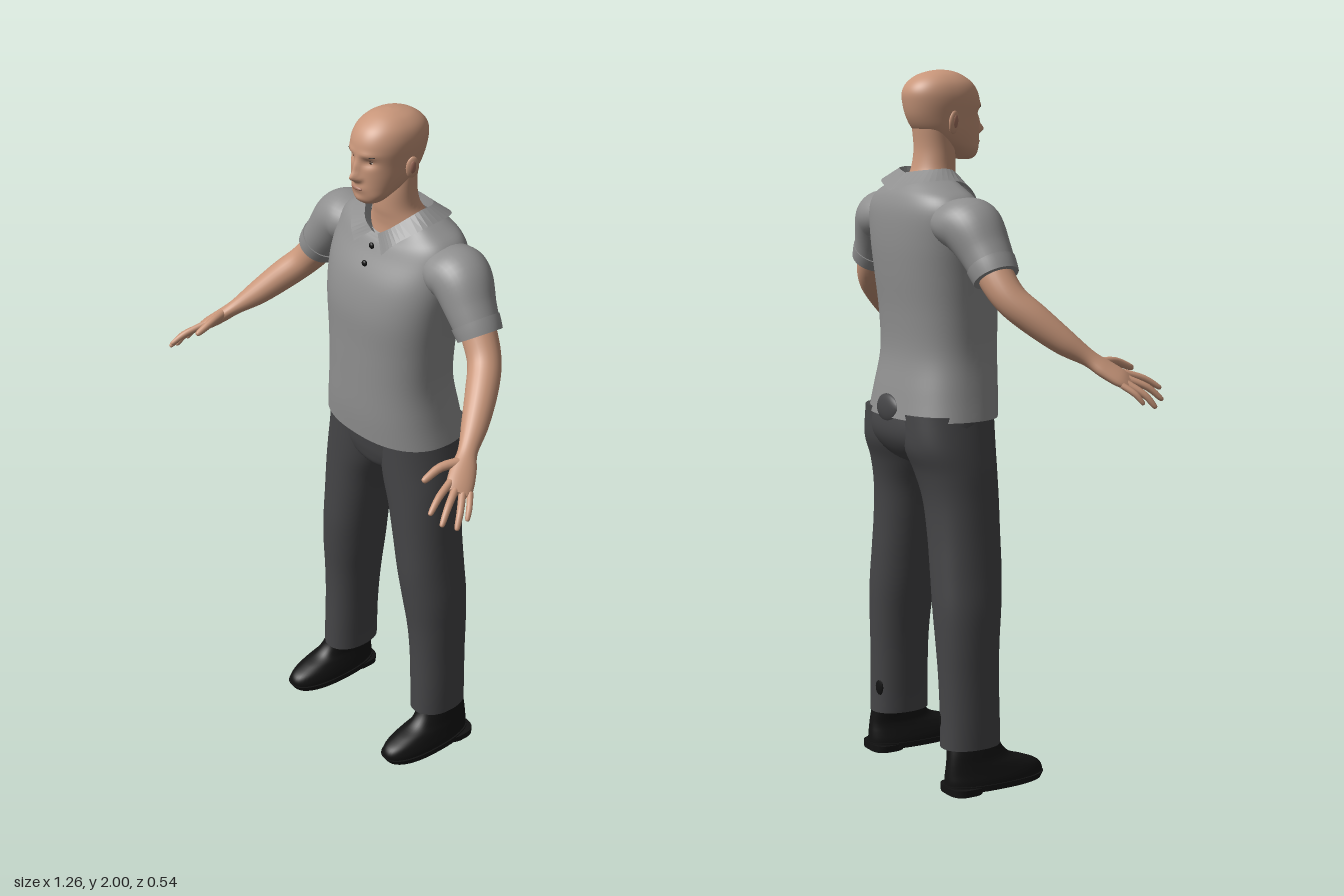
import * as THREE from 'three';

const mat = (name, color, side = THREE.FrontSide) => {
  const m = new THREE.MeshStandardMaterial({ color, side });
  m.name = name;
  return m;
};

// Catmull-Rom smoothing of rows of numbers
function smooth(rows, steps) {
  const out = [], at = i => rows[Math.max(0, Math.min(rows.length - 1, i))];
  for (let i = 0; i < rows.length - 1; i++)
    for (let s = 0; s < steps; s++) {
      const t = s / steps;
      out.push(rows[i].map((b, k) => {
        const a = at(i - 1)[k], c = at(i + 1)[k], d = at(i + 2)[k];
        return 0.5 * (2 * b + (c - a) * t + (2 * a - 5 * b + 4 * c - d) * t * t + (3 * b - a - 3 * c + d) * t * t * t);
      }));
    }
  out.push([...rows[rows.length - 1]]);
  return out;
}

// Skin over closed rings of points, with optional end caps
function skin(rings, capStart = true, capEnd = true) {
  const n = rings[0].length, pos = [], idx = [];
  rings.forEach(r => r.forEach(p => pos.push(p.x, p.y, p.z)));
  for (let i = 0; i < rings.length - 1; i++)
    for (let j = 0; j < n; j++) {
      const k = (j + 1) % n, a = i * n + j, b = i * n + k;
      idx.push(a, b, b + n, a, b + n, a + n);
    }
  const cap = (ring, flip) => {
    const base = pos.length / 3, c = new THREE.Vector3();
    ring.forEach(p => { pos.push(p.x, p.y, p.z); c.addScaledVector(p, 1 / n); });
    pos.push(c.x, c.y, c.z);
    for (let j = 0; j < n; j++) {
      const a = base + j, b = base + (j + 1) % n;
      idx.push(base + n, flip ? b : a, flip ? a : b);
    }
  };
  if (capStart) cap(rings[0], true);
  if (capEnd) cap(rings[rings.length - 1], false);
  const g = new THREE.BufferGeometry();
  g.setAttribute('position', new THREE.Float32BufferAttribute(pos, 3));
  g.setIndex(idx);
  g.computeVertexNormals();
  return g;
}

// Stacked level rings, bottom to top: [y, xMin, xMax, zFront, zBack, frontDrop]
function stack(rows, { steps = 5, n = 48, e = 2.2, start = true, end = true } = {}) {
  const f = v => Math.sign(v) * Math.abs(v) ** (2 / e);
  return skin(smooth(rows, steps).map(([y, x0, x1, zf, zb, drop = 0]) =>
    Array.from({ length: n }, (_, j) => {
      const a = j / n * Math.PI * 2, c = f(Math.cos(a)), s = f(Math.sin(a));
      return new THREE.Vector3((x0 + x1) / 2 + s * (x1 - x0) / 2,
        y - drop * Math.max(0, c) ** 3, (zf + zb) / 2 + c * (zf - zb) / 2);
    })), start, end);
}
const sym = rows => rows.map(([y, w, ...r]) => [y, -w, w, ...r]);

// Tapered limb along a path: [x, y, z, halfWidth, halfThickness]
function limb(rows, ref, { steps = 6, n = 24 } = {}) {
  const s = smooth(rows, steps), P = s.map(r => new THREE.Vector3(r[0], r[1], r[2]));
  return skin(P.map((p, i) => {
    const t = P[Math.min(i + 1, P.length - 1)].clone().sub(P[Math.max(i - 1, 0)]).normalize();
    const u = ref.clone().addScaledVector(t, -ref.dot(t)).normalize(), v = t.clone().cross(u);
    return Array.from({ length: n }, (_, j) => {
      const a = j / n * Math.PI * 2;
      return p.clone().addScaledVector(u, Math.cos(a) * s[i][3]).addScaledVector(v, Math.sin(a) * s[i][4]);
    });
  }));
}

function mirrored(g) {
  const m = g.clone().scale(-1, 1, 1), ix = m.index.array;
  for (let i = 0; i < ix.length; i += 3) [ix[i], ix[i + 1]] = [ix[i + 1], ix[i]];
  m.computeVertexNormals();
  return m;
}

export function createModel() {
  const root = new THREE.Group();
  root.name = 'standingMan';
  const shirt = mat('shirt grey', 0x8f8f8f, THREE.DoubleSide), skinM = mat('skin', 0xc8967a);
  const cloth = mat('trouser charcoal', 0x454547), black = mat('shoe black', 0x121212);
  const dark = mat('brow dark', 0x2a1d17), white = mat('eye white', 0xcfc5bc), lip = mat('lip', 0xa87562);
  const add = (name, g, m) => {
    const mesh = new THREE.Mesh(g, m);
    mesh.name = name;
    root.add(mesh);
  };
  const pair = (name, g, m) => { add(name + 'Left', g, m); add(name + 'Right', mirrored(g), m); };
  const blob = (x, y, z, sx, sy, sz, ry = 0, rz = 0) => new THREE.SphereGeometry(1, 20, 14)
    .scale(sx, sy, sz).rotateZ(rz).rotateY(ry).translate(x, y, z);

  // Head, with the face pushed out and in by soft bumps
  const head = stack(sym([
    [1.754, .022, .012, -.03], [1.764, .042, .022, -.045], [1.782, .057, .028, -.075], [1.805, .067, .03, -.12],
    [1.835, .075, .031, -.158], [1.87, .08, .031, -.18], [1.91, .085, .032, -.191], [1.94, .083, .025, -.192],
    [1.965, .073, .008, -.178], [1.985, .053, -.02, -.15], [1.996, .028, -.048, -.115], [2, .004, -.078, -.085]]),
  { steps: 7, n: 96 });
  const bump = (v, w) => Math.exp(-(v * v) / (w * w));
  const hp = head.attributes.position;
  for (let i = 0; i < hp.count; i++) {
    const x = hp.getX(i), y = hp.getY(i), z = hp.getZ(i);
    if (z < -.05) continue;
    hp.setZ(i, z + .024 * bump(x, .012) * bump(y - 1.836, .014) + .013 * bump(x, .01) * bump(y - 1.862, .022)
      + .006 * bump(Math.abs(x) - .014, .007) * bump(y - 1.831, .008)
      - .010 * bump(Math.abs(x) - .034, .018) * bump(y - 1.88, .012)
      + .004 * bump(Math.abs(x) - .032, .025) * bump(y - 1.902, .009)
      + .006 * bump(x, .025) * bump(y - 1.803, .013) + .005 * bump(x, .02) * bump(y - 1.77, .012));
  }
  head.computeVertexNormals();
  add('head', head, skinM);
  add('neck', stack(sym([[1.59, .1, -.045, -.2], [1.655, .1, -.052, -.195], [1.69, .084, -.05, -.187],
    [1.725, .067, -.045, -.168], [1.78, .062, -.046, -.158], [1.84, .062, -.06, -.162]]), { e: 2 }), skinM);
  pair('ear', blob(.085, 1.857, -.088, .008, .032, .019, -.3, -.12), skinM);
  pair('innerEar', blob(.089, 1.859, -.086, .006, .02, .010, -.3, -.12), lip);
  pair('eye', blob(.034, 1.88, .008, .013, .0055, .006, .2), white);
  pair('iris', blob(.034, 1.88, .0125, .005, .005, .003, .2), dark);
  pair('eyelid', blob(.035, 1.886, .0115, .015, .0022, .005, .3), dark);
  pair('eyebrow', blob(.036, 1.899, .0195, .018, .0032, .006, .35, .08), dark);
  add('lips', blob(0, 1.803, .0315, .021, .006, .007), lip);

  // Polo shirt
  add('shirtBody', stack(sym([
    [1.045, .222, .045, -.263, 0], [1.12, .208, .05, -.25, 0], [1.22, .195, .051, -.232, 0],
    [1.33, .199, .051, -.235, 0], [1.44, .21, .05, -.246, 0], [1.53, .22, .03, -.252, 0], [1.61, .222, -.008, -.25, .01],
    [1.655, .2, -.025, -.238, .025], [1.682, .15, -.035, -.22, .043], [1.702, .104, -.045, -.2, .055]]),
  { n: 72, e: 2.35, end: false }), shirt);
  const zAxis = new THREE.Vector3(0, 0, 1);
  pair('sleeve', limb([[.13, 1.59, -.13, .07, .055], [.2, 1.588, -.13, .09, .07], [.25, 1.575, -.125, .086, .08],
    [.3, 1.515, -.115, .072, .068], [.34, 1.46, -.11, .062, .06]], zAxis, { n: 36 }), shirt);
  pair('sleeveCuff', limb([[.322, 1.485, -.112, .069, .067], [.334, 1.469, -.111, .067, .065],
    [.345, 1.453, -.11, .064, .062]], zAxis, { n: 36, steps: 2 }), shirt);

  // Folded collar: stand, fold and outer edge swept from front to back
  const edges = [
    [[.012, 1.635, -.05], [.05, 1.655, -.06], [.088, 1.69, -.1], [.078, 1.7, -.165], [0, 1.69, -.19]],
    [[.012, 1.652, -.03], [.055, 1.682, -.04], [.098, 1.728, -.1], [.085, 1.73, -.165], [0, 1.72, -.195]],
    [[.058, 1.612, -.004], [.095, 1.655, -.025], [.138, 1.698, -.1], [.115, 1.698, -.205], [0, 1.672, -.245]]
  ].map(r => smooth(r, 6));
  const cp = [], ci = [], m = edges[0].length;
  edges.forEach(e => e.forEach(p => cp.push(...p)));
  for (let r = 0; r < 2; r++)
    for (let i = 0; i < m - 1; i++) {
      const a = r * m + i;
      ci.push(a, a + m, a + m + 1, a, a + m + 1, a + 1);
    }
  let collar = new THREE.BufferGeometry();
  collar.setAttribute('position', new THREE.Float32BufferAttribute(cp, 3));
  collar.setIndex(ci);
  collar = collar.toNonIndexed();
  collar.setIndex([...Array(collar.attributes.position.count).keys()]);
  collar.computeVertexNormals();
  pair('collar', collar, shirt);
  for (const [y, z] of [[1.62, -.012], [1.575, .013]])
    add('button', blob(.008, y, z, .009, .009, .006), black);

  // Arms, hands and fingers
  const across = new THREE.Vector3(-.67, .39, .63);
  pair('arm', limb([[.3, 1.515, -.115, .05, .05], [.345, 1.45, -.108, .049, .049], [.388, 1.395, -.088, .046, .045],
    [.43, 1.345, -.042, .044, .043], [.475, 1.287, .02, .037, .035], [.511, 1.244, .076, .027, .022],
    [.535, 1.217, .11, .035, .02], [.56, 1.192, .145, .038, .017], [.573, 1.18, .165, .032, .009]], across), skinM);
  const fingers = {
    indexFinger: [[.545, 1.203, .165], [.562, 1.185, .22], [.578, 1.157, .265]],
    middleFinger: [[.562, 1.19, .162], [.59, 1.165, .213], [.608, 1.13, .25]],
    ringFinger: [[.576, 1.181, .15], [.61, 1.15, .188], [.628, 1.114, .215]],
    littleFinger: [[.586, 1.176, .133], [.612, 1.153, .158], [.626, 1.126, .177]],
    thumb: [[.525, 1.232, .105], [.506, 1.228, .165], [.503, 1.206, .225]]
  };
  for (const [name, [a, b, c]] of Object.entries(fingers)) {
    const w = name === 'thumb' ? .0125 : name === 'littleFinger' ? .0085 : .0098;
    const mix = t => b.map((v, k) => v + (c[k] - v) * t);
    pair(name, limb([[...a, w * 1.1, w], [...b, w, w * .95], [...mix(.85), w * .75, w * .7], [...c, w * .2, w * .2]],
      across, { n: 12, steps: 4 }), skinM);
  }

  // Trousers
  add('trouserSeat', stack(sym([[.895, .03, -.06, -.15], [.925, .12, -.012, -.215], [.965, .205, .004, -.25],
    [1.01, .218, .012, -.264], [1.07, .212, .02, -.255], [1.1, .2, .02, -.24]])), cloth);
  pair('trouserLeg', stack([[.125, .143, .272, -.02, -.197], [.2, .14, .272, -.021, -.196], [.32, .132, .27, -.022, -.198],
    [.42, .12, .27, -.018, -.202], [.52, .102, .268, -.008, -.205], [.62, .085, .258, .0, -.204], [.72, .066, .249, .002, -.203],
    [.82, .044, .242, .004, -.208], [.9, .016, .237, .006, -.225], [.97, .004, .228, .008, -.25], [1.06, .004, .212, .01, -.252]]), cloth);
  add('trouserBackPatch', blob(0, 1.066, -.251, .06, .042, .018), cloth);
  pair('calfPatch', blob(.182, .205, -.188, .015, .03, .005, .35), black);

  // Shoes
  pair('shoeUpper', stack([[.016, .166, .288, .108, -.197], [.035, .167, .287, .112, -.198], [.055, .172, .282, .098, -.197],
    [.073, .178, .277, .058, -.195], [.09, .182, .272, .01, -.193], [.115, .18, .268, -.018, -.19], [.15, .175, .262, -.035, -.185]],
  { e: 2.3 }), black);
  pair('shoeSole', stack([[.008, .162, .292, .105, -.2], [.024, .162, .292, .115, -.2]], { e: 2.4, steps: 1 }), black);
  pair('shoeHeel', stack([[0, .17, .29, -.1, -.2], [.02, .168, .291, -.09, -.201]], { e: 3, steps: 1 }), black);
  return root;
}
